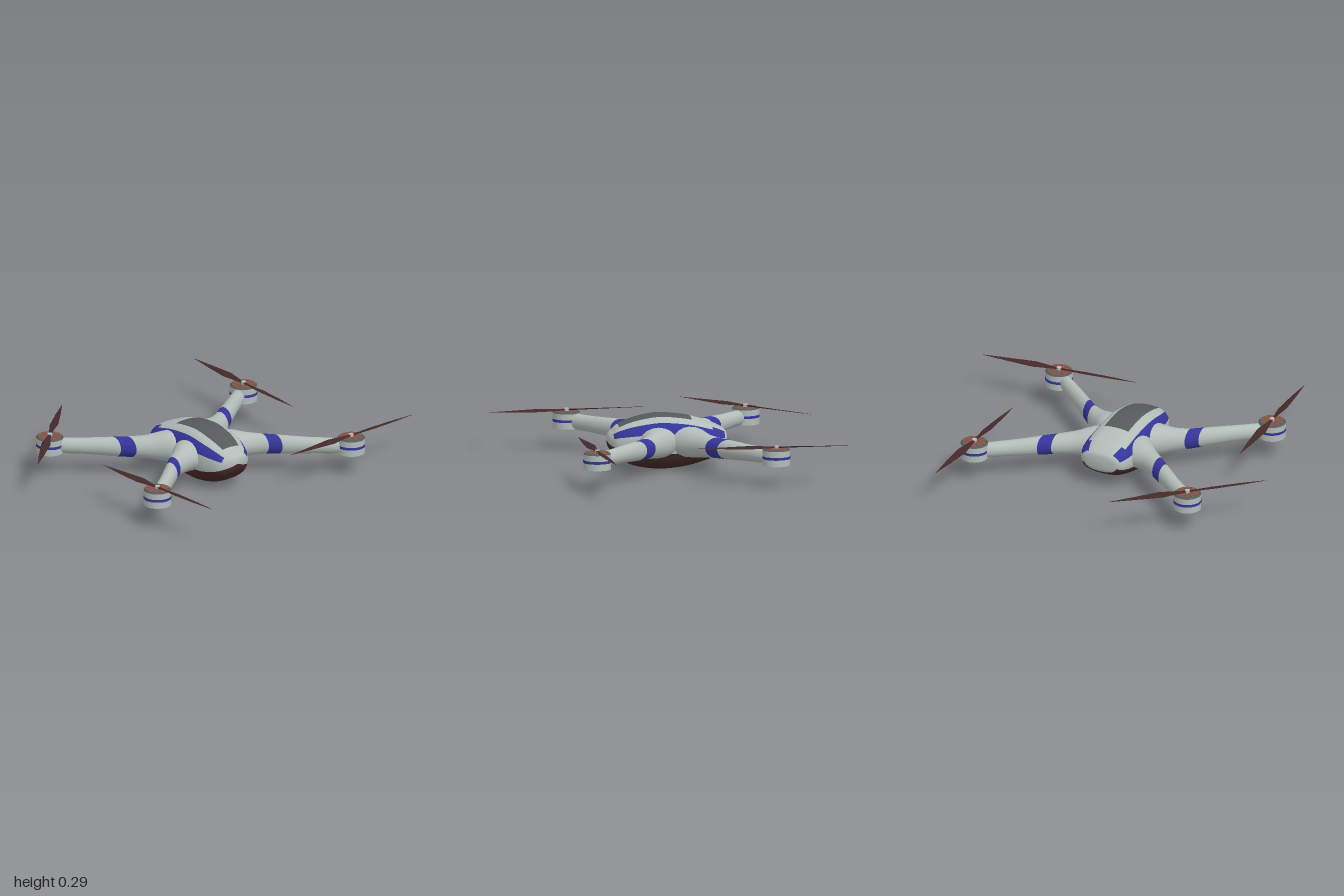
import * as THREE from 'three';

const mat = (name, color, extra = {}) => {
  const m = new THREE.MeshStandardMaterial({ color, ...extra });
  m.name = name;
  return m;
};

// Smoothly subdivide rows of numbers (Catmull-Rom per column)
function refine(rows, steps) {
  const out = [], last = rows.length - 1;
  for (let k = 0; k < last; k++) {
    const [a, b, c, d] = [rows[Math.max(k - 1, 0)], rows[k], rows[k + 1], rows[Math.min(k + 2, last)]];
    for (let s = 0; s < steps; s++) {
      const t = s / steps;
      out.push(b.map((_, n) => b[n] + 0.5 * t * (c[n] - a[n] + t * (2 * a[n] - 5 * b[n] + 4 * c[n] - d[n]
        + t * (3 * (b[n] - c[n]) + d[n] - a[n])))));
    }
  }
  out.push(rows[last]);
  return out;
}

// Skin closed rings of points; pick(row, column) gives each quad's material index
function loft(rings, materials, pick = () => 0) {
  const n = rings[0].length, lists = materials.map(() => []);
  for (let j = 0; j < rings.length - 1; j++) {
    for (let i = 0; i < n; i++) {
      const i2 = (i + 1) % n, a = j * n + i, b = a + n, c = j * n + i2, d = c + n;
      lists[pick(j, i)].push(a, b, c, c, b, d);
    }
  }
  const g = new THREE.BufferGeometry();
  g.setAttribute('position', new THREE.Float32BufferAttribute(rings.flat(2), 3));
  g.setIndex(lists.flat());
  let start = 0;
  lists.forEach((l, k) => { g.addGroup(start, l.length, k); start += l.length; });
  g.computeVertexNormals();
  return new THREE.Mesh(g, materials);
}

export function createModel() {
  const model = new THREE.Group();
  const shell = mat('light grey shell', 0xb2bcb8);
  const blue = mat('blue trim', 0x35359a);
  const dark = mat('dark grey panel', 0x565a5a);
  const brown = mat('dark brown', 0x452929);
  const orange = mat('orange vents', 0xa84a30);
  const CX = -0.08;

  // Body stations: z, half width, top, bottom
  const body = refine([
    [0.34, 0, 0.155, 0.155], [0.332, 0.045, 0.187, 0.118], [0.31, 0.084, 0.208, 0.088],
    [0.28, 0.109, 0.233, 0.06], [0.2, 0.136, 0.267, 0.02], [0.08, 0.147, 0.29, 0.001],
    [-0.02, 0.148, 0.284, 0.006], [-0.1, 0.148, 0.27, 0.02], [-0.19, 0.145, 0.242, 0.047],
    [-0.24, 0.132, 0.222, 0.066], [-0.27, 0.113, 0.205, 0.085], [-0.285, 0.075, 0.188, 0.107],
    [-0.29, 0, 0.15, 0.15],
  ], 4);
  // Superellipse angles, placed so that the colour edges fall on them
  const P = 2.5;
  const quarter = [0, 0.2, 0.38, 0.58, 0.76, 0.87, 0.935, 0.975].map(f => Math.asin(f ** (P / 2)));
  const lower = [-0.97, -0.9, -0.78, -0.6, -0.34, -0.15].map(f => -Math.asin((-f) ** (P / 2)));
  const rightHalf = [...lower, ...quarter];
  const angles = [-Math.PI / 2, ...rightHalf, Math.PI / 2, ...rightHalf.map(a => Math.PI - a).reverse()];
  const pw = v => Math.sign(v) * Math.abs(v) ** (2 / P);
  const rings = body.map(([z, w, top, bot]) => angles.map(a => [
    CX + w * pw(Math.cos(a)), (top + bot) / 2 + (top - bot) / 2 * pw(Math.sin(a)), z]));
  const hull = loft(rings, [shell, blue, dark, brown], (j, i) => {
    const z = (body[j][0] + body[j + 1][0]) / 2;
    const a = (angles[i] + (angles[i + 1] ?? 1.5 * Math.PI)) / 2;
    const f = pw(Math.sin(a));
    if (f < -0.34) return z > -0.28 ? 3 : 0;
    if (f > 0.38 && f < (z < -0.2 ? 0.87 : 0.76) && z > -0.272 && z < 0.312) return 1;
    if (f > 0.93 && z > -0.1 && z < 0.28) return 2;
    return 0;
  });
  hull.name = 'body';
  model.add(hull);

  // Arm stations: distance from the body axis, z, half depth, bottom, top
  const arms = {
    front: [[0.02, 0.07, 0.11, 0.075, 0.235], [0.12, 0.08, 0.105, 0.075, 0.235], [0.17, 0.093, 0.088, 0.08, 0.228],
      [0.22, 0.125, 0.068, 0.088, 0.215], [0.286, 0.173, 0.056, 0.097, 0.206], [0.34, 0.222, 0.053, 0.1, 0.203],
      [0.47, 0.34, 0.049, 0.109, 0.196], [0.6, 0.45, 0.042, 0.117, 0.19], [0.61, 0.455, 0, 0.155, 0.155]],
    back: [[0.02, -0.06, 0.11, 0.075, 0.235], [0.12, -0.08, 0.11, 0.075, 0.235], [0.17, -0.106, 0.092, 0.08, 0.228],
      [0.22, -0.143, 0.072, 0.088, 0.215], [0.298, -0.202, 0.062, 0.097, 0.206], [0.358, -0.252, 0.057, 0.1, 0.203],
      [0.47, -0.345, 0.05, 0.109, 0.196], [0.6, -0.45, 0.042, 0.117, 0.19], [0.61, -0.455, 0, 0.155, 0.155]],
  };
  for (const [end, stations] of Object.entries(arms)) {
    for (const side of [1, -1]) {
      const rows = refine(stations, 4);
      const armRings = rows.map(([x, z, hz, bot, top]) => Array.from({ length: 20 }, (_, i) => {
        const a = i / 20 * Math.PI * 2;
        return [CX + side * x, (top + bot) / 2 + (top - bot) / 2 * Math.sin(a), z + side * hz * Math.cos(a)];
      }));
      // The blue band lies between the fifth and sixth stations
      const arm = loft(armRings, [shell, blue], j => (j >= 16 && j < 20 ? 1 : 0));
      arm.name = `${end}${side > 0 ? 'Left' : 'Right'}Arm`;
      model.add(arm);
    }
  }

  // Motor pod with vented cap, and a two-bladed propeller turned by an angle
  function rotor(name, x, z, degrees) {
    const g = new THREE.Group();
    g.name = name;
    const add = (part, geo, material, y) => {
      const m = new THREE.Mesh(geo, material);
      m.name = part;
      m.position.y = y;
      g.add(m);
      return m;
    };
    add('motorPod', new THREE.CylinderGeometry(0.072, 0.072, 0.08, 32), shell, 0.155);
    add('motorBand', new THREE.CylinderGeometry(0.073, 0.073, 0.014, 32), blue, 0.157);
    add('motorCap', new THREE.CylinderGeometry(0.064, 0.072, 0.008, 32), dark, 0.199);
    for (let i = 0; i < 10; i++) {
      const vent = new THREE.RingGeometry(0.022, 0.06, 4, 1, i * Math.PI / 5, 0.34).rotateX(-Math.PI / 2);
      add('vent', vent, orange, 0.204);
    }
    add('hub', new THREE.CylinderGeometry(0.013, 0.013, 0.014, 16), shell, 0.21);

    // Blade stations: radius, half chord, half thickness, pitch
    const half = [[0.43, 0.001, 0.0005, 0.05], [0.3, 0.013, 0.0015, 0.12], [0.14, 0.023, 0.0025, 0.22],
      [0.05, 0.011, 0.0035, 0.25], [0.015, 0.009, 0.004, 0]];
    const blade = [...half.map(([r, c, t, p]) => [-r, c, t, -p]), ...half.slice().reverse()];
    const propeller = loft(blade.map(([r, c, t, p]) => Array.from({ length: 8 }, (_, i) => {
      const a = i / 8 * Math.PI * 2, dz = c * Math.cos(a);
      return [r, t * Math.sin(a) + dz * p, dz];
    })), [brown]);
    propeller.name = 'propeller';
    propeller.position.y = 0.209;
    propeller.rotation.y = THREE.MathUtils.degToRad(degrees);
    g.add(propeller);
    g.position.set(x, 0, z);
    model.add(g);
  }
  rotor('frontLeftRotor', 0.56, 0.47, 6);
  rotor('frontRightRotor', -0.695, 0.47, 95);
  rotor('backLeftRotor', 0.56, -0.47, 90);
  rotor('backRightRotor', -0.695, -0.47, 45);
  return model;
}
